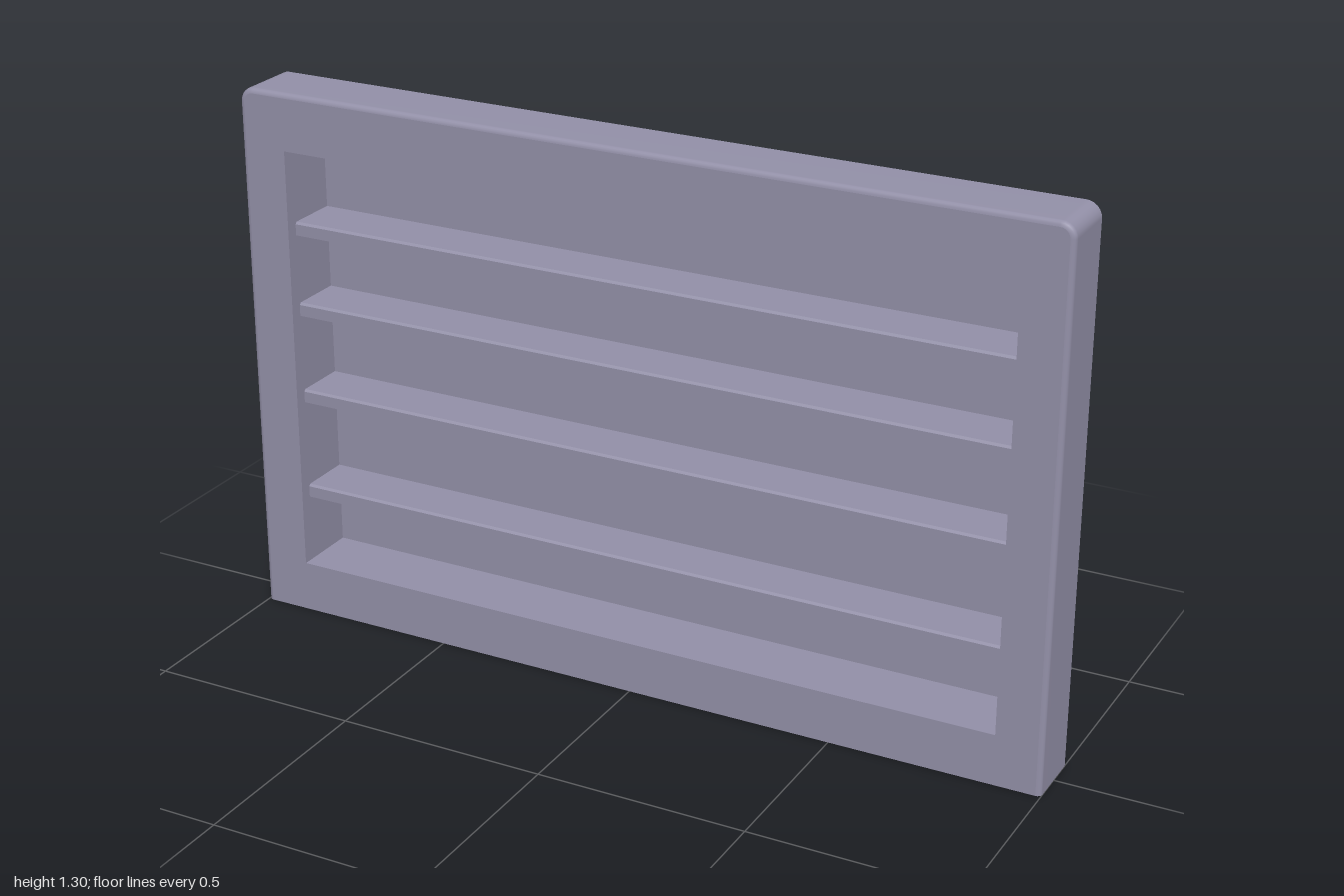
import * as THREE from 'three';

const W = 1, H = 1.3, FRONT = 0.08, BACK = -0.07, CORNER = 0.035, BEVEL = 0.012;
const HOLE = { x0: -0.885, x1: 0.89, y0: 0.123, y1: 1.163 };
const PANEL_BACK = -0.08;

// Skin a surface over rows of points
function sheet(rows, flat) {
  const n = rows[0].length, pos = [], idx = [];
  for (const row of rows) for (const p of row) pos.push(p[0], p[1], p[2]);
  for (let j = 0; j < rows.length - 1; j++) {
    for (let i = 0; i < n - 1; i++) {
      const a = j * n + i, b = a + 1, c = a + n, d = c + 1;
      idx.push(a, c, b, b, c, d);
    }
  }
  let geo = new THREE.BufferGeometry();
  geo.setAttribute('position', new THREE.Float32BufferAttribute(pos, 3));
  geo.setIndex(idx);
  if (flat) geo = geo.toNonIndexed();
  geo.computeVertexNormals();
  return geo;
}

// Outline up the left side, over the rounded top corners and down the right
function outline(inset) {
  const r = CORNER - inset, steps = 6, pts = [[-W + inset, 0]];
  for (const side of [-1, 1]) {
    for (let k = 0; k <= steps; k++) {
      const start = side < 0 ? Math.PI : Math.PI / 2;
      const a = start - (k / steps) * Math.PI / 2;
      pts.push([side * (W - CORNER) + r * Math.cos(a), H - CORNER + r * Math.sin(a)]);
    }
  }
  pts.push([W - inset, 0]);
  return pts;
}

export function createModel() {
  const group = new THREE.Group();
  const material = new THREE.MeshStandardMaterial({ color: 0x9390a8, side: THREE.DoubleSide });
  material.name = 'greyLilac';
  const add = (name, geo) => {
    const mesh = new THREE.Mesh(geo, material);
    mesh.name = name;
    group.add(mesh);
    return mesh;
  };

  // Outer shell: sides and top only, with a small rounded front edge
  const rows = [outline(0).map(([x, y]) => [x, y, BACK])];
  for (let k = 0; k <= 4; k++) {
    const a = (k / 4) * Math.PI / 2;
    const z = FRONT - BEVEL + BEVEL * Math.sin(a);
    rows.push(outline(BEVEL * (1 - Math.cos(a))).map(([x, y]) => [x, y, z]));
  }
  add('outerShell', sheet(rows, false));

  // Front frame with the rectangular opening
  const face = new THREE.Shape(outline(BEVEL).map(([x, y]) => new THREE.Vector2(x, y)));
  const { x0, x1, y0, y1 } = HOLE;
  face.holes.push(new THREE.Path([[x0, y0], [x1, y0], [x1, y1], [x0, y1]]
    .map(([x, y]) => new THREE.Vector2(x, y))));
  add('frontFrame', new THREE.ShapeGeometry(face)).position.z = FRONT;

  // Recessed tray behind the opening: a box without its front face
  const tray = new THREE.BoxGeometry(x1 - x0, y1 - y0, FRONT - PANEL_BACK);
  const index = Array.from(tray.index.array);
  index.splice(24, 6);
  tray.setIndex(index);
  tray.clearGroups();
  add('recessedTray', tray).position.set((x0 + x1) / 2, (y0 + y1) / 2, (FRONT + PANEL_BACK) / 2);

  // Shelves: channels open at the back, running out through the tray sides
  const shelfFront = 0.05, thick = 0.032, chamfer = 0.005;
  for (const top of [0.984, 0.785, 0.566, 0.32]) {
    const profile = [
      [top - thick, PANEL_BACK], [top - thick, shelfFront],
      [top - chamfer, shelfFront], [top, shelfFront - chamfer], [top, PANEL_BACK],
    ];
    add('shelf', sheet([-0.985, 0.925].map(x => profile.map(([y, z]) => [x, y, z])), true));
  }

  return group;
}
